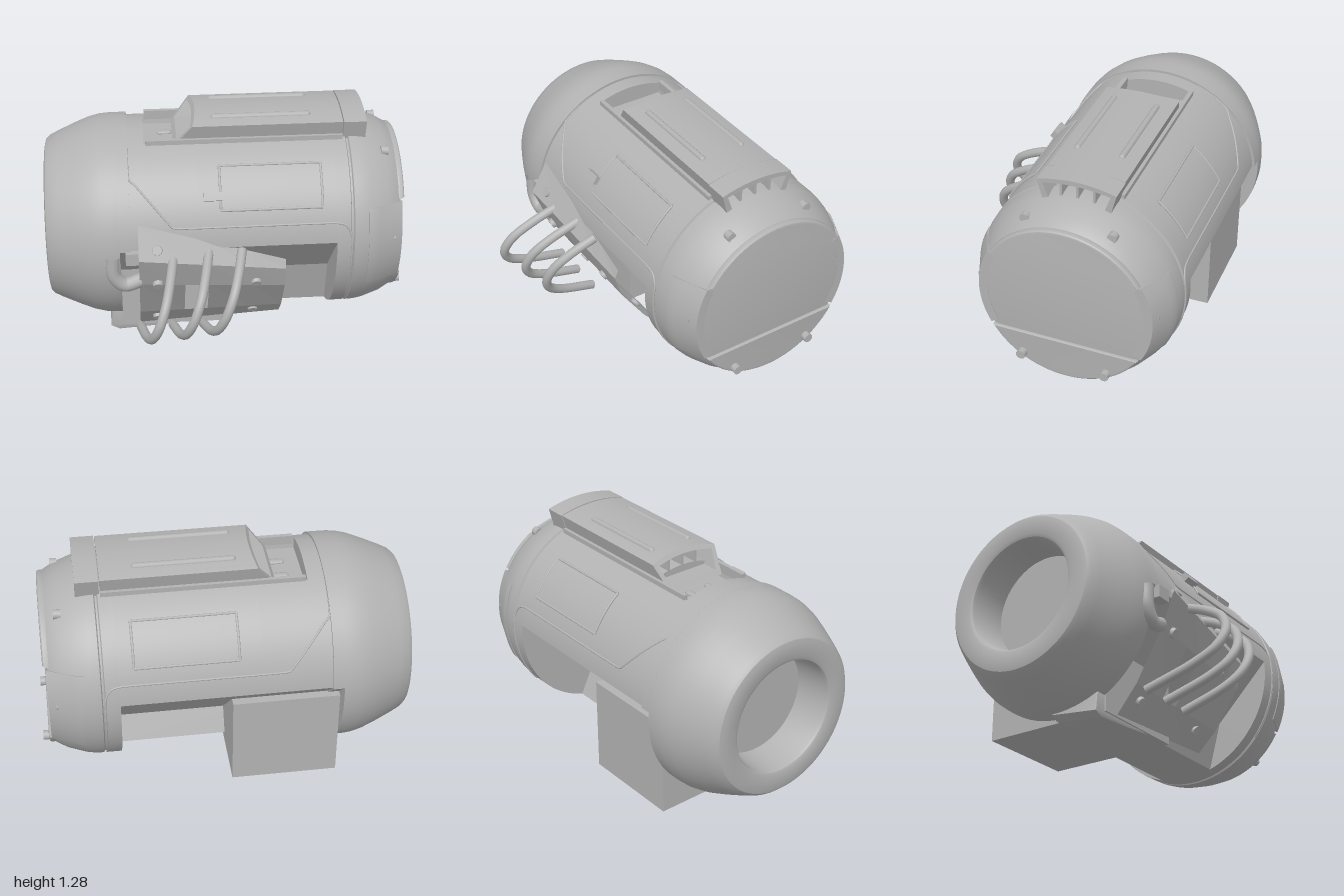
import * as THREE from 'three';
import { toCreasedNormals } from 'three/addons/utils/BufferGeometryUtils.js';

const CY = 0.63, CZ = -0.17, R = 0.556; // barrel axis and radius

export function createModel() {
  const root = new THREE.Group();
  const grey = new THREE.MeshStandardMaterial({ color: 0xb2b2b2, side: THREE.DoubleSide });
  grey.name = 'hull grey';

  const add = (name, geo, crease = 0.5) => {
    const mesh = new THREE.Mesh(crease ? toCreasedNormals(geo, crease) : geo, grey);
    mesh.name = name;
    root.add(mesh);
    return mesh;
  };
  const V = (x, y, z) => new THREE.Vector3(x, y, z);
  const box = (name, x0, x1, y0, y1, z0, z1) =>
    add(name, new THREE.BoxGeometry(x1 - x0, y1 - y0, z1 - z0)
      .translate((x0 + x1) / 2, (y0 + y1) / 2, (z0 + z1) / 2));
  const tube = (name, pts, r, n = 40) => {
    const curve = new THREE.CatmullRomCurve3(pts);
    add(name, new THREE.TubeGeometry(curve, n, r, 12), 0);
    return curve;
  };
  // Extrude a cross-section (u = -z from the axis) along x
  const alongX = (shape, x0, x1, y = CY, bevel = 0) =>
    new THREE.ExtrudeGeometry(shape, {
      depth: x1 - x0 - 2 * bevel, curveSegments: 48, bevelEnabled: bevel > 0,
      bevelSize: bevel, bevelThickness: bevel, bevelOffset: -bevel, bevelSegments: 3,
    }).rotateY(Math.PI / 2).translate(x0 + bevel, y, CZ);
  const lathe = (name, pts) =>
    add(name, new THREE.LatheGeometry(pts.map(p => new THREE.Vector2(p[0], p[1])), 80)
      .rotateZ(-Math.PI / 2).translate(0, CY, CZ));
  // Point on the barrel: angle 0 is the side (1 front, -1 back), PI/2 the top
  const onBarrel = (x, a, r, side) => V(x, CY + r * Math.sin(a), CZ + side * r * Math.cos(a));
  // Box wrapped round the barrel, narrowing in angle where it grows wider
  const wrapped = (name, side, x0, x1, a0, a1, depth, outer) => {
    const g = new THREE.BoxGeometry(1, 1, 1, 6, 1, 20), p = g.attributes.position;
    for (let i = 0; i < p.count; i++) {
      const x = x0 + (0.5 + side * p.getX(i)) * (x1 - x0);
      const a = (a1 + (p.getZ(i) + 0.5) * (a0 - a1)) * outer(x0) / outer(x);
      const q = onBarrel(x, a, outer(x) - (p.getY(i) > 0 ? 0 : depth), side);
      p.setXYZ(i, q.x, q.y, q.z);
    }
    add(name, g);
  };

  // Barrel ends
  lathe('openEnd', [[0, -0.78], [0.3, -0.78], [0.31, -0.975], [0.318, -0.992], [0.335, -1], [0.41, -1],
    [0.435, -0.994], [0.453, -0.975], [0.478, -0.925], [0.52, -0.83], [0.55, -0.755], [0.566, -0.69],
    [0.57, -0.64], [0.57, -0.6], [0, -0.6]]);
  lathe('capEnd', [[0, 0.58], [R, 0.58], [R, 0.655], [0.544, 0.66], [0.544, 0.67], [R, 0.676],
    [0.554, 0.72], [0.545, 0.77], [0.51, 0.87], [0.475, 0.93], [0.462, 0.943], [0.445, 0.946], [0, 0.946]]);

  // Middle of the barrel, notched for the side bays and the top pocket
  const section = (r, pocket) => {
    const s = new THREE.Shape(), a = Math.asin(0.06 / r), b = Math.asin(0.53 / r);
    if (pocket) {
      const t = Math.acos(0.2 / r);
      s.absarc(0, 0, r, a, t, false);
      s.lineTo(0.19, 0.46);
      s.lineTo(-0.19, 0.46);
      s.absarc(0, 0, r, Math.PI - t, Math.PI - a, false);
    } else s.absarc(0, 0, r, a, Math.PI - a, false);
    s.lineTo(-0.24, -0.26);
    s.absarc(0, 0, r, Math.PI + b, 2 * Math.PI - b, false);
    s.lineTo(0.1, -0.39);
    s.closePath();
    return s;
  };
  add('collar', alongX(section(0.57), -0.6, -0.54));
  add('hullFront', alongX(section(R), -0.54, -0.45));
  add('hullPocket', alongX(section(R, true), -0.45, -0.17));
  add('hullMain', alongX(section(R), -0.17, 0.58));

  // Raised segments of the end cap, above and below the flat band
  for (const [name, a] of [['capUpperPlate', 0], ['capLowerPlate', Math.PI]]) {
    const s = new THREE.Shape();
    s.absarc(0, 0, 0.472, a + 0.533, a + Math.PI - 0.533, false);
    s.closePath();
    add(name, alongX(s, 0.92, 0.966, CY, 0.015));
  }

  for (const [name, side] of [['Front', 1], ['Back', -1]]) {
    // Cap side band and hatch with its frame
    wrapped('capBand' + name, side, 0.755, 0.95, -0.44, 0.44, 0.05,
      x => x < 0.78 ? 0.553 : 0.553 - (x - 0.78) * 0.43);
    wrapped('hatch' + name, side, -0.05, 0.5, 0.475, 0.92, 0.03, () => R + 0.006);
    const loop = [[-0.05, 0.475], [0.5, 0.475], [0.5, 0.92], [-0.05, 0.92]];
    loop.forEach(([x, a], i) => {
      const [x2, a2] = loop[(i + 1) % 4], pts = [];
      for (let k = 0; k <= 8; k++)
        pts.push(onBarrel(x + (x2 - x) * k / 8, a + (a2 - a) * k / 8, R + 0.005, side));
      tube('hatchFrame' + name, pts, 0.007, 16);
    });
    // Panel seam above the bay
    const path = [[-0.545, 1.2], [-0.54, 0.83], [-0.5, 0.74], [-0.33, 0.36], [-0.27, 0.315], [0.55, 0.315],
      [0.63, 0.28], [0.66, 0.15], [0.66, -0.7]];
    const flat = new THREE.CatmullRomCurve3(path.map(p => V(p[0], p[1], 0)), false, 'catmullrom', 0.2);
    tube('seam' + name, flat.getPoints(70).map(p => onBarrel(p.x, p.y, R, side)), 0.006, 120);
  }
  wrapped('hatchTab', 1, -0.14, -0.04, 0.57, 0.65, 0.06, () => 0.59);

  // Cap bolts
  for (const s of [-1, 1])
    for (const [x, y, dz] of [[0.87, 1.08, 0.235], [0.89, 0.67, 0.475], [0.98, 0.26, 0.235]])
      add('capBolt', new THREE.CylinderGeometry(0.026, 0.026, 0.04, 16).rotateZ(Math.PI / 2)
        .translate(x, y, CZ + s * dz));

  // Top vent cover: hollow duct with a slanted mouth, an end rim and inner slats
  const duct = (k) => {
    const trace = (s, w0, w1, y0, y1, top) => {
      s.moveTo(-w0, y0); s.lineTo(w0, y0); s.lineTo(w1, y1);
      s.quadraticCurveTo(0, top, -w1, y1); s.closePath();
      return s;
    };
    const s = trace(new THREE.Shape(), 0.175 + k, 0.21 + k, 1.12 - k, 1.25, 1.305 + 2 * k);
    s.holes.push(trace(new THREE.Path(), 0.15, 0.182, 1.145, 1.235, 1.275));
    return s;
  };
  const cover = alongX(duct(0), -0.16, 0.64, 0), cp = cover.attributes.position;
  for (let i = 0; i < cp.count; i++)
    if (cp.getX(i) < 0) cp.setX(i, cp.getX(i) - (1.28 - cp.getY(i)) * 0.8);
  add('ventCover', cover);
  add('ventRim', alongX(duct(0.004), 0.645, 0.77, 0));
  box('ventCore', -0.05, 0.6, 1.12, 1.25, CZ - 0.16, CZ + 0.16);
  for (const dz of [-0.09, 0, 0.09])
    box('ventSlat', -0.17, 0.755, 1.13, 1.25, CZ + dz - 0.007, CZ + dz + 0.007);
  for (const s of [-1, 1]) {
    // Raised sill beside the cover and pocket, cover ribs and pocket slots
    box('coverSill', -0.44, 0.64, 1.12, 1.172, CZ + s * 0.196 - 0.012, CZ + s * 0.196 + 0.012);
    const rib = new THREE.CapsuleGeometry(0.018, 0.515, 6, 12).rotateZ(Math.PI / 2);
    add('coverRib', rib.translate(0.195, 1.264, CZ + s * 0.122), 0);
    add('pocketSlot', new THREE.CapsuleGeometry(0.022, 0.045, 6, 12).rotateZ(Math.PI / 2)
      .scale(1, 0.5, 1).translate(-0.33, 1.093, CZ + s * 0.065), 0);
  }

  // Square block below the rear bay
  box('rearBlock', -0.6, -0.02, 0.04, 0.57, -0.65, 0.11);

  // Faceted front guard with a gap, interpolated between its two side profiles
  const left = [[0.84, 0.37], [0.67, 0.465], [0.48, 0.39], [0.2, 0.23], [0.04, 0.1]];
  const right = [[0.6, 0.38], [0.55, 0.4], [0.42, 0.36], [0.2, 0.21], [0.09, 0.1]];
  const cols = [-0.5, -0.25, -0.12, 0.12, 0.3], tris = [];
  const at = (c, r) => {
    const t = (cols[c] + 0.5) / 0.8;
    return [cols[c], left[r][0] + (right[r][0] - left[r][0]) * t, left[r][1] + (right[r][1] - left[r][1]) * t];
  };
  for (let c = 0; c < 4; c++) for (let r = 0; r < 4; r++) {
    if (c === 1 && r === 2) continue;
    const a = at(c, r), b = at(c, r + 1), d = at(c + 1, r + 1), e = at(c + 1, r);
    tris.push(...a, ...b, ...d, ...a, ...d, ...e);
  }
  const guard = new THREE.BufferGeometry();
  guard.setAttribute('position', new THREE.Float32BufferAttribute(tris, 3));
  guard.computeVertexNormals();
  add('guardPlate', guard, 0);
  for (const [x, y, z, tilt] of [[-0.4, 0.71, 0.42, -0.5], [-0.4, 0.48, 0.395, 0.5], [-0.4, 0.14, 0.185, 0.6],
    [0.14, 0.46, 0.375, 0.5], [0.14, 0.16, 0.175, 0.6]])
    add('guardScrew', new THREE.CylinderGeometry(0.026, 0.032, 0.03, 16)
      .rotateX(Math.PI / 2 + tilt).translate(x, y, z));

  // Bent bars in front of the guard
  for (const [x0, x1, z] of [[-0.31, -0.5, 0.715], [-0.12, -0.32, 0.675], [0.06, -0.15, 0.637]]) {
    const bar = [[0.67, 0], [0.595, 0.52], [0.51, 0.88], [0.41, 1], [0.32, 0.89], [0.245, 0.55], [0.145, -0.28]];
    const curve = tube('guardBar', bar.map(([y, k]) =>
      V(x0 + (x1 - x0) * (0.67 - y) / 0.525, y, k < 0 ? 0.29 : 0.38 + k * (z - 0.38))), 0.026);
    for (const [t, dir] of [[0, -1], [1, 1]])
      add('barEnd', new THREE.CircleGeometry(0.026, 12)
        .applyQuaternion(new THREE.Quaternion().setFromUnitVectors(V(0, 0, 1), curve.getTangent(t).multiplyScalar(dir)))
        .translate(...curve.getPoint(t).toArray()), 0);
  }

  // Hooked bracket beside the guard
  tube('bracketHook', [V(-0.64, 0.66, 0.385), V(-0.635, 0.54, 0.385), V(-0.58, 0.48, 0.38), V(-0.49, 0.5, 0.37)], 0.04);
  box('bracketStrap', -0.57, -0.48, 0.62, 0.69, 0.36, 0.42);

  // Foot, thinning towards the back
  const foot = new THREE.Shape([[-0.66, 0.03], [-0.62, 0.01], [-0.4, 0.025], [-0.05, 0.055],
    [-0.5, 0.075], [-0.53, 0.13], [-0.65, 0.14]].map(p => new THREE.Vector2(...p)));
  const footGeo = new THREE.ExtrudeGeometry(foot, { depth: 0.27, bevelSize: 0.01, bevelThickness: 0.01, bevelSegments: 2 })
    .translate(0, 0, -0.18);
  const fp = footGeo.attributes.position;
  for (let i = 0; i < fp.count; i++)
    fp.setY(i, fp.getY(i) + (0.1 - fp.getZ(i)) * 0.12);
  add('foot', footGeo);

  return root;
}
